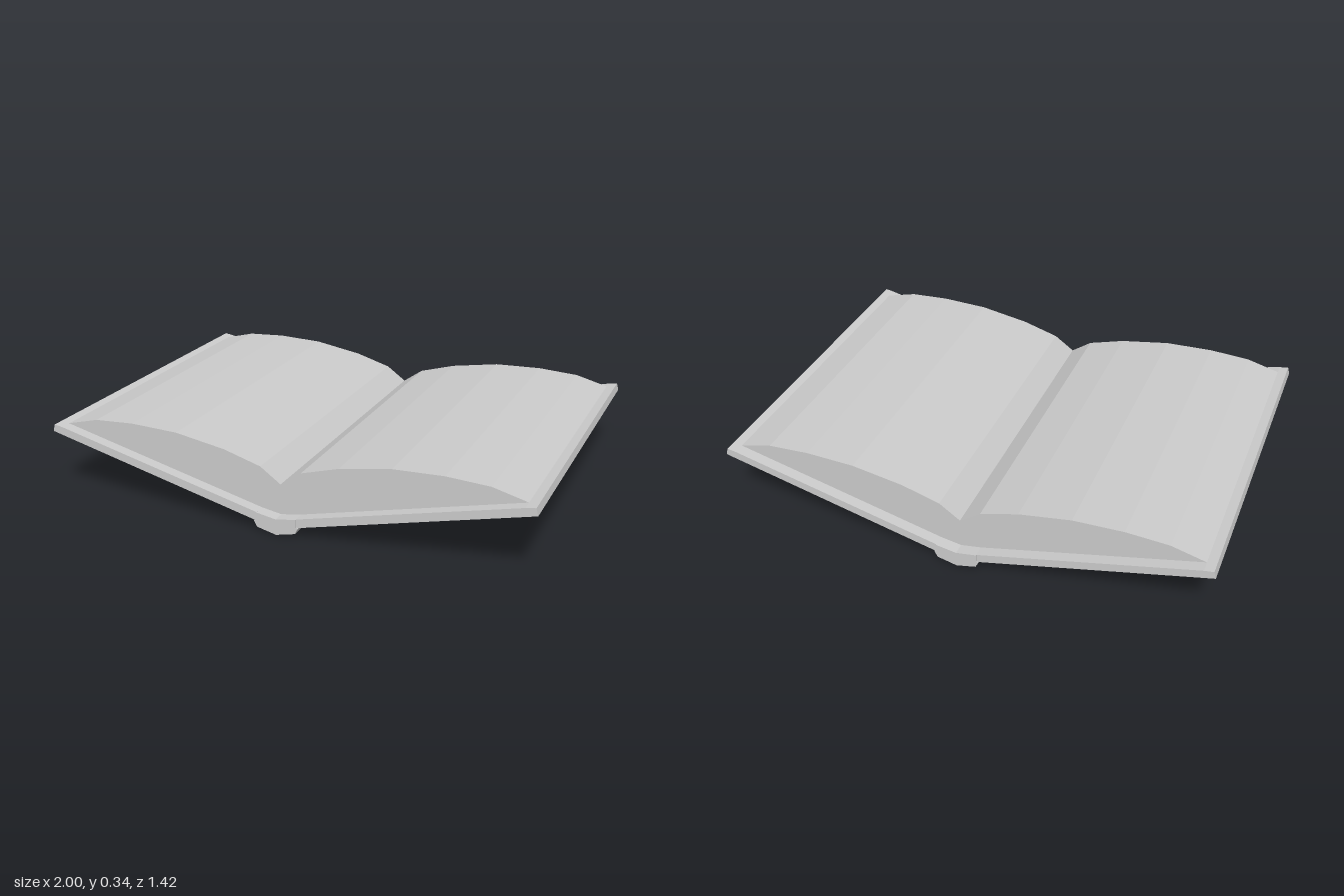
import * as THREE from 'three';

const material = new THREE.MeshStandardMaterial({ color: 0xcccccc, flatShading: true });

// Extrude an x-y outline along z, centred on z = 0
function slab(name, points, depth) {
  const shape = new THREE.Shape(points.map(([x, y]) => new THREE.Vector2(x, y)));
  const geometry = new THREE.ExtrudeGeometry(shape, { depth, bevelEnabled: false });
  geometry.translate(0, 0, -depth / 2);
  const mesh = new THREE.Mesh(geometry, material);
  mesh.name = name;
  return mesh;
}

const mirror = (points) => points.map(([x, y]) => [-x, y]).reverse();

export function createModel() {
  const book = new THREE.Group();
  book.name = 'openBook';

  // Hard cover board, rising outwards with a squared outer edge
  const cover = [[0.083, 0.043], [1, 0.268], [0.992, 0.297], [0.955, 0.291], [0.083, 0.079]];

  // Page block: fanned top falling into the gutter
  const pages = [
    [0, 0.066], [0.083, 0.08], [0.955, 0.292],
    [0.82, 0.327], [0.65, 0.337], [0.45, 0.33], [0.24, 0.295], [0.085, 0.25], [0, 0.19],
  ];

  for (const [side, place] of [['left', (p) => p], ['right', mirror]]) {
    book.add(slab(side + 'Cover', place(cover), 1.41));
    book.add(slab(side + 'Pages', place(pages), 1.32));
  }

  // Shallow rounded spine joining the two boards
  const spine = [[0, 0], [0.08, 0.019], [0.093, 0.044], [0.084, 0.046], [0.084, 0.079], [0, 0.065]];
  book.add(slab('spine', [...spine, ...mirror(spine.slice(1, 5))], 1.416));

  return book;
}
